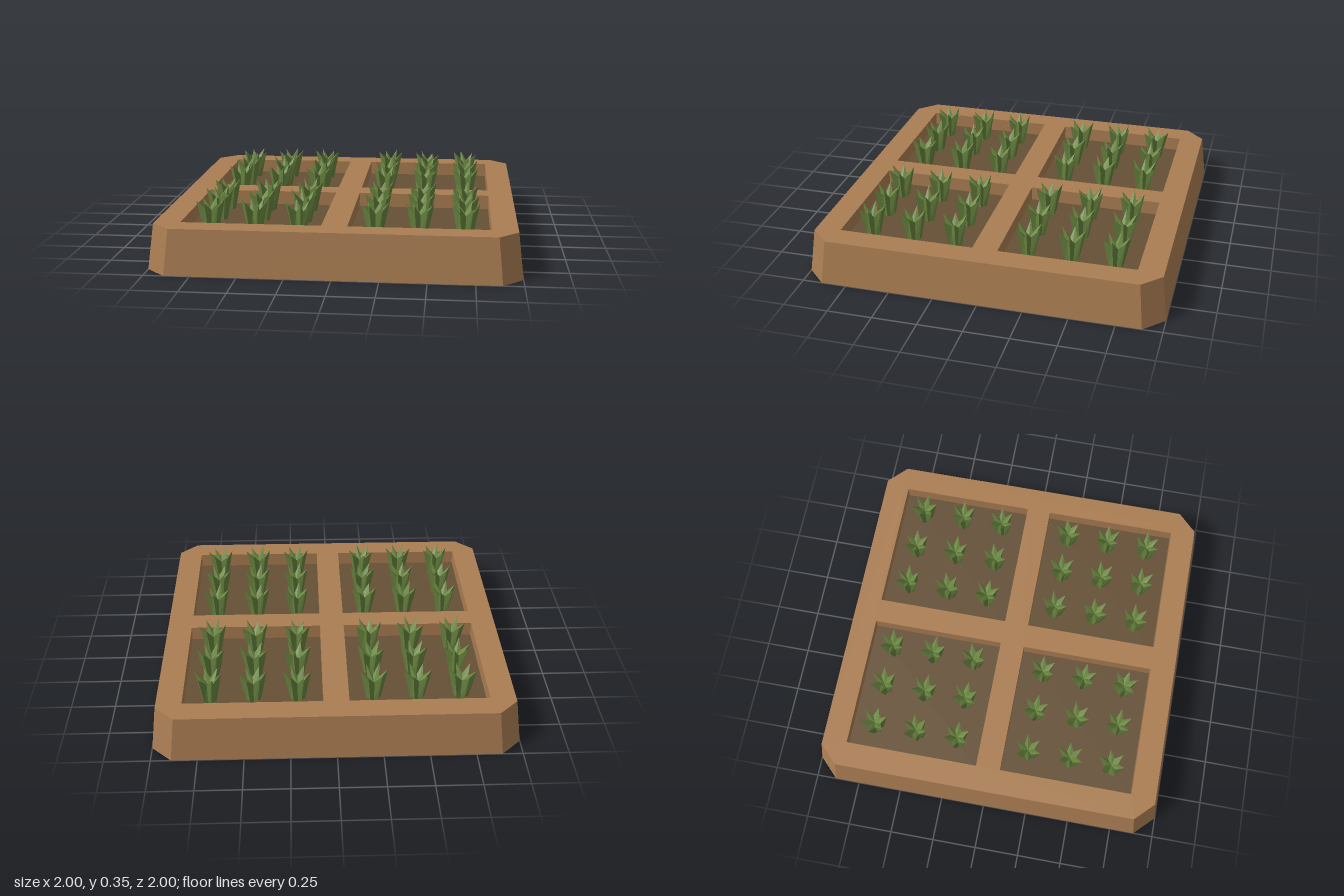
import * as THREE from 'three';
import { mergeGeometries } from 'three/addons/utils/BufferGeometryUtils.js';

const HEIGHT = 0.25, SOIL = 0.17, BED = 0.45, BED_HALF = 0.38;
const V2 = (x, y) => new THREE.Vector2(x, y);

// Square with cut corners, counter-clockwise seen from above
function octagon(h, c) {
  const k = h - c;
  return [V2(k, -h), V2(h, -k), V2(h, k), V2(k, h), V2(-k, h), V2(-h, k), V2(-h, -k), V2(-k, -h)];
}

function square(cx, cy, h) {
  return [V2(cx - h, cy - h), V2(cx + h, cy - h), V2(cx + h, cy + h), V2(cx - h, cy + h)];
}

// Flat-shaded geometry from a list of triangle corners
function facets(points) {
  const g = new THREE.BufferGeometry().setFromPoints(points);
  g.computeVertexNormals();
  return g;
}

// Wall between two matching outlines at two heights
function wall(lower, upper, y0, y1) {
  const pts = [];
  lower.forEach((p, i) => {
    const j = (i + 1) % lower.length;
    const at = (q, y) => new THREE.Vector3(q.x, y, -q.y);
    const a = at(p, y0), b = at(lower[j], y0), c = at(upper[j], y1), d = at(upper[i], y1);
    pts.push(a, b, c, a, c, d);
  });
  return facets(pts);
}

function flat(shape, y, down = false) {
  const g = new THREE.ShapeGeometry(shape).toNonIndexed();
  g.deleteAttribute('uv');
  return g.rotateX(down ? Math.PI / 2 : -Math.PI / 2).translate(0, y, 0);
}

// Six pointed leaves flaring out from a fluted stem
function plantGeometry(random) {
  const n = 12, base = [], rim = [], pts = [];
  for (let i = 0; i < n; i++) {
    const a = (i / n) * Math.PI * 2, tip = i % 2 === 0;
    const ring = (r, y) => new THREE.Vector3(Math.cos(a) * r, y, -Math.sin(a) * r);
    base.push(ring(tip ? 0.04 : 0.027, 0));
    rim.push(tip ? ring(0.073 + random() * 0.006, 0.165 + random() * 0.02) : ring(0.037, 0.125));
  }
  const heart = new THREE.Vector3(0, 0.1, 0);
  for (let i = 0; i < n; i++) {
    const j = (i + 1) % n;
    pts.push(base[i], base[j], rim[j], base[i], rim[j], rim[i], heart, rim[i], rim[j]);
  }
  return facets(pts);
}

export function createModel() {
  const model = new THREE.Group();
  const material = (name, color) => new THREE.MeshStandardMaterial({ name, color });
  const wood = material('wood', 0xaa7d52);
  const soil = material('soil', 0x655036);
  const leaf = material('leaf green', 0x68843f);
  let seed = 7;
  const random = () => (seed = (seed * 16807) % 2147483647) / 2147483647;
  const add = (name, geometry, mat, parent = model) => {
    const mesh = new THREE.Mesh(geometry, mat);
    mesh.name = name;
    parent.add(mesh);
    return mesh;
  };

  // Planter frame: sloping sides, solid underside, top with four openings
  const bottom = octagon(1, 0.11), top = octagon(0.97, 0.105);
  const rim = new THREE.Shape(top);
  const parts = [wall(bottom, top, 0, HEIGHT), flat(new THREE.Shape(bottom), 0, true)];
  const centres = [];
  for (const sx of [-1, 1]) for (const sy of [-1, 1]) centres.push([sx * BED, sy * BED]);
  for (const [x, y] of centres) {
    const hole = square(x, y, BED_HALF).reverse();
    rim.holes.push(new THREE.Path(hole));
    parts.push(wall(hole, hole, SOIL, HEIGHT));
  }
  parts.push(flat(rim, HEIGHT));
  add('planterFrame', mergeGeometries(parts), wood);

  // Four beds, each with soil and a three by three grid of plants
  for (const [x, y] of centres) {
    const bed = new THREE.Group();
    bed.name = 'bed';
    bed.position.set(x, SOIL, -y);
    model.add(bed);
    add('soil', flat(new THREE.Shape(square(0, 0, BED_HALF)), 0), soil, bed);
    for (let i = -1; i <= 1; i++) {
      for (let j = -1; j <= 1; j++) {
        const plant = add('plant', plantGeometry(random), leaf, bed);
        plant.position.set(i * 0.242, 0, j * 0.242);
        plant.rotation.y = (random() - 0.5) * 0.6;
      }
    }
  }
  return model;
}
